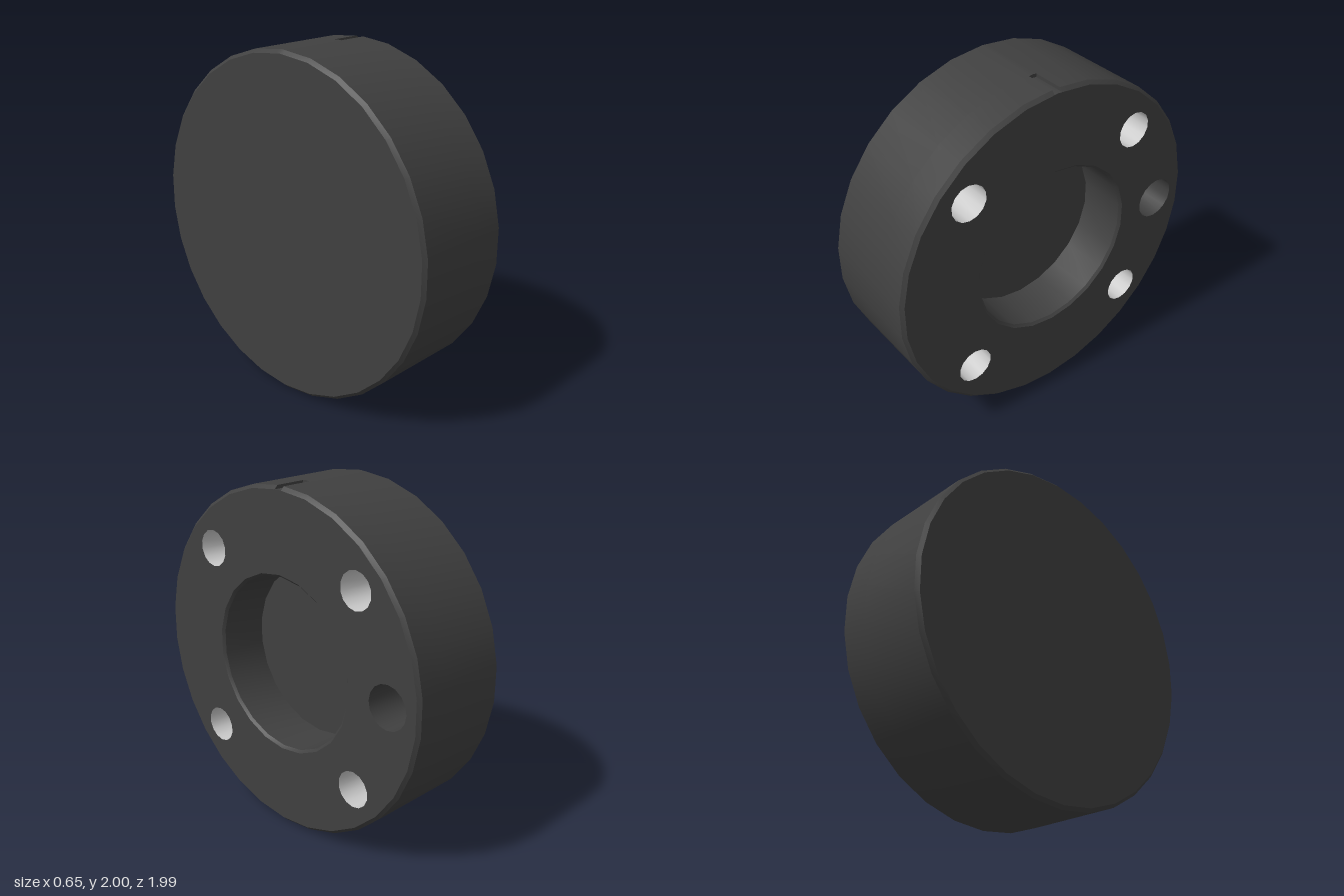
import * as THREE from 'three';
import { toCreasedNormals } from 'three/addons/utils/BufferGeometryUtils.js';

const HALF = 0.323, CHAMFER = 0.02, INNER = 1 - CHAMFER;

// Regular polygon with a vertex at the top, counter-clockwise
function ring(r, n, cx = 0, cy = 0) {
  return Array.from({ length: n }, (_, i) => {
    const a = Math.PI / 2 + (i * 2 * Math.PI) / n;
    return new THREE.Vector2(cx + r * Math.cos(a), cy + r * Math.sin(a));
  });
}

// Rim outline whose top vertex is split so a small slot can drop to radius `floor`
function rim(r, floor = r) {
  const w = r > 0 ? 0.024 : 0, drop = w * Math.tan(Math.PI / 30);
  const top = [[w, r - drop], [w, floor - drop], [0, floor], [-w, floor - drop], [-w, r - drop]];
  return [...top.map(([x, y]) => new THREE.Vector2(x, y)), ...ring(r, 30).slice(1)];
}

// Skin a series of [z, outline] loops, dropping collapsed triangles
function skin(loops) {
  const pos = [];
  const tri = (a, b, c) => {
    const area = b.clone().sub(a).cross(c.clone().sub(a)).length();
    if (area > 1e-8) for (const p of [a, b, c]) pos.push(p.x, p.y, p.z);
  };
  const rows = loops.map(([z, pts]) => pts.map((p) => new THREE.Vector3(p.x, p.y, z)));
  for (let i = 0; i + 1 < rows.length; i++) {
    const n = rows[i].length;
    for (let j = 0; j < n; j++) {
      const k = (j + 1) % n;
      tri(rows[i][j], rows[i][k], rows[i + 1][k]);
      tri(rows[i][j], rows[i + 1][k], rows[i + 1][j]);
    }
  }
  const g = new THREE.BufferGeometry();
  g.setAttribute('position', new THREE.Float32BufferAttribute(pos, 3));
  return toCreasedNormals(g, 0.5);
}

export function createModel() {
  const model = new THREE.Group();
  const disc = new THREE.Group();
  disc.name = 'disc';
  model.add(disc);
  const dark = new THREE.MeshStandardMaterial({ color: 0x404040 });
  const light = new THREE.MeshStandardMaterial({ color: 0xcccccc });
  const add = (name, geometry, material = dark) => {
    const mesh = new THREE.Mesh(geometry, material);
    mesh.name = name;
    disc.add(mesh);
  };

  // Closed back, chamfered rim and the index slot at the top
  add('outerShell', skin([
    [-HALF, rim(0)],
    [-HALF, rim(INNER)],
    [-HALF + CHAMFER, rim(1)],
    [0.12, rim(1)],
    [0.12, rim(1, INNER)],
    [HALF - CHAMFER, rim(1, INNER)],
    [HALF, rim(INNER)],
  ]));

  // Central recess with a chamfered lip and flat floor
  add('centralRecess', skin([
    [HALF, ring(0.52, 22)],
    [HALF - 0.015, ring(0.505, 22)],
    [0.025, ring(0.505, 22)],
    [0.025, ring(0, 22)],
  ]));

  // Blind drilled holes with conical ends
  const holes = [{ name: 'locatingHole', x: 0.788, y: 0, r: 0.126, n: 16, wall: dark }];
  for (const x of [-0.56, 0.56]) for (const y of [-0.56, 0.56]) {
    holes.push({ name: 'boltHole', x, y, r: 0.107, n: 14, wall: light });
  }
  const face = new THREE.Shape(ring(INNER, 30));
  face.holes.push(new THREE.Path(ring(0.52, 22)));
  for (const { name, x, y, r, n, wall } of holes) {
    const edge = ring(r, n, x, y), bottom = HALF - 0.34;
    face.holes.push(new THREE.Path(edge));
    add(name + 'Wall', skin([[HALF, edge], [bottom, edge]]), wall);
    add(name + 'Bottom', skin([[bottom, edge], [bottom - r * 0.6, ring(0, n, x, y)]]));
  }

  // Pierced mounting face
  add('mountingFace', new THREE.ShapeGeometry(face).translate(0, 0, HALF));

  // Turn the disc so the mounting face looks along +x
  disc.rotation.y = Math.PI / 2;
  disc.position.y = 1;
  return model;
}
